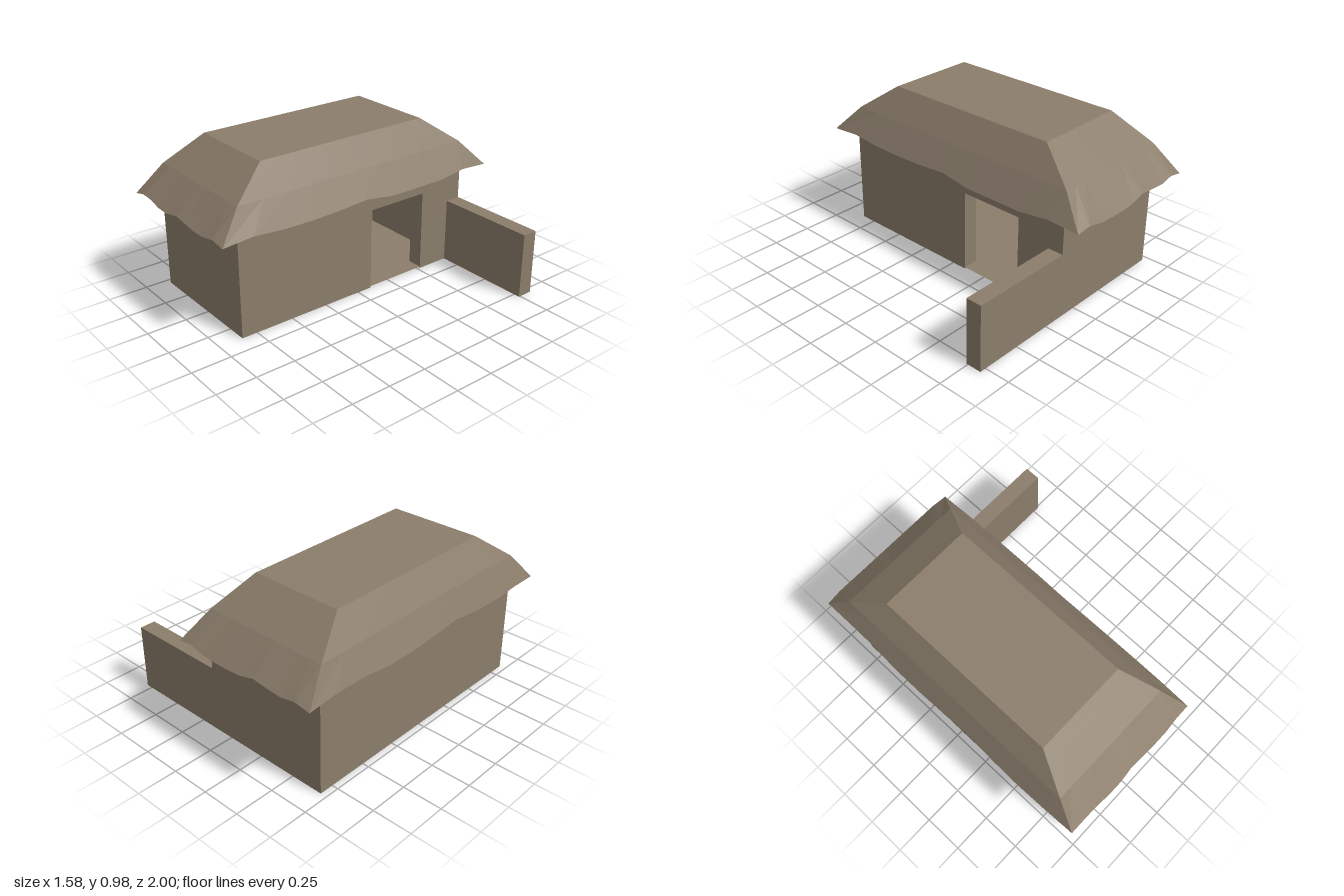
import * as THREE from 'three';

const X0 = -0.71, X1 = 0.13, Z0 = -0.84, Z1 = 0.85, H = 0.64, T = 0.1, FLOOR = 0.01;
const DOOR = { a: 0.1, b: 0.52, top: 0.53 }; // measured along -z

export function createModel() {
  const clay = new THREE.MeshStandardMaterial({ color: 0x8b7d6b, side: THREE.DoubleSide, flatShading: true });
  clay.name = 'clay brown';
  const model = new THREE.Group();
  model.name = 'house';

  const add = (parent, name, geometry) => {
    const mesh = new THREE.Mesh(geometry, clay);
    mesh.name = name;
    parent.add(mesh);
    return mesh;
  };

  // Flat panel facing +z by default, turned by ry, centred on x and z
  const panel = (parent, name, width, y0, y1, x, z, ry) => {
    const mesh = add(parent, name, new THREE.PlaneGeometry(width, y1 - y0));
    mesh.position.set(x, (y0 + y1) / 2, z);
    mesh.rotation.y = ry;
  };

  // Walls: outer and inner skins
  const walls = new THREE.Group();
  walls.name = 'walls';
  model.add(walls);
  for (const [label, inset, flip] of [['outer', 0, 0], ['inner', T, Math.PI]]) {
    const x0 = X0 + inset, x1 = X1 - inset, z0 = Z0 + inset, z1 = Z1 - inset;
    const cx = (x0 + x1) / 2, cz = (z0 + z1) / 2;
    panel(walls, label + 'FrontWall', x1 - x0, 0, H, cx, z1, flip);
    panel(walls, label + 'BackWall', x1 - x0, 0, H, cx, z0, Math.PI + flip);
    panel(walls, label + 'LeftWall', z1 - z0, 0, H, x0, cz, -Math.PI / 2 + flip);

    // Wall with the doorway cut down to the floor
    const s = new THREE.Shape();
    [[-z1, 0], [DOOR.a, 0], [DOOR.a, DOOR.top], [DOOR.b, DOOR.top], [DOOR.b, 0], [-z0, 0], [-z0, H], [-z1, H]]
      .forEach(([u, v], i) => (i ? s.lineTo(u, v) : s.moveTo(u, v)));
    const g = new THREE.ShapeGeometry(s);
    g.rotateY(Math.PI / 2);
    if (flip) { // turn the inner skin to face the room
      const idx = g.index.array;
      for (let i = 0; i < idx.length; i += 3) [idx[i], idx[i + 1]] = [idx[i + 1], idx[i]];
      g.computeVertexNormals();
    }
    add(walls, label + 'DoorWall', g).position.x = x1;
  }

  // Door frame
  panel(walls, 'nearJamb', T, 0, DOOR.top, X1 - T / 2, -DOOR.a, Math.PI);
  panel(walls, 'farJamb', T, 0, DOOR.top, X1 - T / 2, -DOOR.b, 0);
  const lintel = add(walls, 'lintel', new THREE.PlaneGeometry(T, DOOR.b - DOOR.a).rotateX(Math.PI / 2));
  lintel.position.set(X1 - T / 2, DOOR.top, -(DOOR.a + DOOR.b) / 2);

  // Floor, running out to the doorstep
  const floor = add(model, 'floor', new THREE.PlaneGeometry(X1 - X0 - T, Z1 - Z0 - 2 * T).rotateX(-Math.PI / 2));
  floor.position.set((X0 + T + X1) / 2, FLOOR, (Z0 + Z1) / 2);

  // Low yard wall
  const yard = add(model, 'yardWall', new THREE.BoxGeometry(0.66, 0.42, T));
  yard.position.set(0.46, 0.21, Z0 + T / 2);

  add(model, 'roof', roofGeometry());
  return model;
}

// Hipped roof with a wavy eave, built from rectangular rings
function roofGeometry() {
  const N = 10;
  // Eave lift along each side: front, right, back, left
  const waves = [
    [0, 0.9, 0.8, 0.25, 0.2, 0.9, 0.6, 0.3, 0.3, 0.9, 0],
    [0.3, 0.9, 0.4, 0.3, 0.5, 0.9, 0, 0, 0, 0.8, 0.3],
    [0.3, 0.8, 0.2, 0, 0, 0.2, 0.9, 0.6, 0.4, 0.9, 0.3],
    [0.2, 0.9, 0.8, 0.1, 0.1, 0.4, 0.9, 0.2, 0, 0.3, 0.2],
  ];
  const ring = (x0, x1, z0, z1, y, wavy) => {
    const c = [[x0, z1], [x1, z1], [x1, z0], [x0, z0]];
    const out = [[0, 1], [1, 0], [0, -1], [-1, 0]];
    const pts = [];
    for (let s = 0; s < 4; s++) {
      for (let i = 0; i < N; i++) {
        const t = i / N, a = c[s], b = c[(s + 1) % 4];
        const lift = wavy ? waves[s][i] : 0;
        const push = wavy && i ? 0.012 * (1 - lift) : 0;
        pts.push([
          a[0] + (b[0] - a[0]) * t + out[s][0] * push,
          y + lift * 0.026,
          a[1] + (b[1] - a[1]) * t + out[s][1] * push,
        ]);
      }
    }
    return pts;
  };
  const centre = (y) => Array(4 * N).fill([-0.3, y, 0]);
  const rings = [
    centre(0.635),
    ring(X0, X1, Z0, Z1, 0.635),                    // ceiling edge
    ring(-0.78, 0.205, -0.988, 0.988, 0.632, true), // eave
    ring(-0.71, 0.115, -0.83, 0.83, 0.81),          // bend
    ring(-0.6, 0, -0.595, 0.6, 0.98),               // flat top
    centre(0.98),
  ];
  const pos = [];
  for (let r = 0; r < rings.length - 1; r++) {
    const lo = rings[r], hi = rings[r + 1];
    for (let i = 0; i < lo.length; i++) {
      const j = (i + 1) % lo.length;
      if (r > 0) pos.push(...lo[i], ...lo[j], ...hi[j]);
      else pos.push(...lo[i], ...hi[j], ...hi[i]);
      if (r > 0 && r < rings.length - 2) pos.push(...lo[i], ...hi[j], ...hi[i]);
    }
  }
  const g = new THREE.BufferGeometry();
  g.setAttribute('position', new THREE.Float32BufferAttribute(pos, 3));
  g.computeVertexNormals();
  return g;
}
